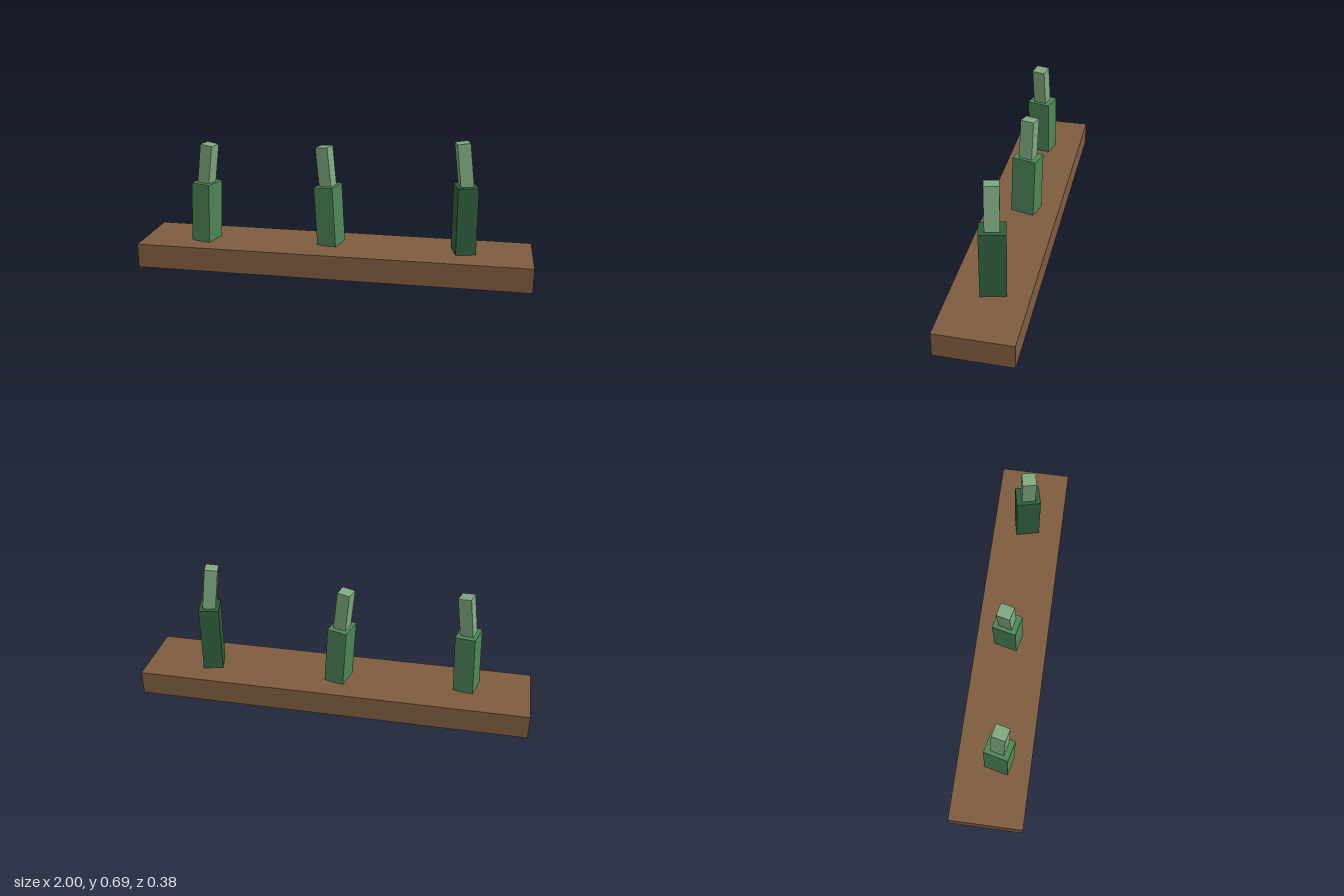
import * as THREE from 'three';

const brown = new THREE.MeshStandardMaterial({ name: 'brown wood', color: 0x7f5c40, side: THREE.DoubleSide });
const midGreen = new THREE.MeshStandardMaterial({ name: 'mid green', color: 0x4d8557 });
const darkGreen = new THREE.MeshStandardMaterial({ name: 'dark green', color: 0x2f5d3c });
const lightGreen = new THREE.MeshStandardMaterial({ name: 'light green', color: 0x7fa97f });

const BASE_TOP = 0.125;

// Box standing on its own origin
function standingBox(name, w, h, d, material) {
  const geometry = new THREE.BoxGeometry(w, h, d).translate(0, h / 2, 0);
  const mesh = new THREE.Mesh(geometry, material);
  mesh.name = name;
  return mesh;
}

// Planter tray: a box shell with an open underside
function createPlanter() {
  const planter = standingBox('planter', 2, BASE_TOP, 0.375, brown);
  const index = Array.from(planter.geometry.index.array);
  index.splice(18, 6); // remove the bottom face
  planter.geometry.setIndex(index);
  planter.geometry.clearGroups();
  return planter;
}

// Sprout: a thick stem with a thinner leaning shoot on top
function createSprout({ name, x, z, yaw, stemTilt, shootTilt, stemHeight, shootHeight, material }) {
  const sprout = new THREE.Group();
  sprout.name = name;
  sprout.position.set(x, BASE_TOP, z);
  sprout.rotation.y = yaw;

  const stem = standingBox('stem', 0.102, stemHeight, 0.125, material);
  stem.rotation.z = stemTilt;

  const shoot = standingBox('shoot', 0.066, shootHeight, 0.07, lightGreen);
  shoot.rotation.z = shootTilt;
  shoot.position.set(-Math.sin(stemTilt) * stemHeight, Math.cos(stemTilt) * stemHeight - 0.002, 0);

  sprout.add(stem, shoot);
  return sprout;
}

export function createModel() {
  const model = new THREE.Group();
  model.name = 'planter with sprouts';
  model.add(createPlanter());

  const sprouts = [
    { name: 'rightSprout', x: -0.677, z: 0.025, yaw: -0.23, stemTilt: -0.04, shootTilt: -0.13,
      stemHeight: 0.31, shootHeight: 0.203, material: midGreen },
    { name: 'middleSprout', x: -0.02, z: -0.017, yaw: -0.23, stemTilt: 0.06, shootTilt: 0.105,
      stemHeight: 0.307, shootHeight: 0.203, material: midGreen },
    { name: 'leftSprout', x: 0.658, z: -0.008, yaw: 0.23, stemTilt: 0, shootTilt: 0.12,
      stemHeight: 0.342, shootHeight: 0.22, material: darkGreen },
  ];
  for (const sprout of sprouts) model.add(createSprout(sprout));
  return model;
}
